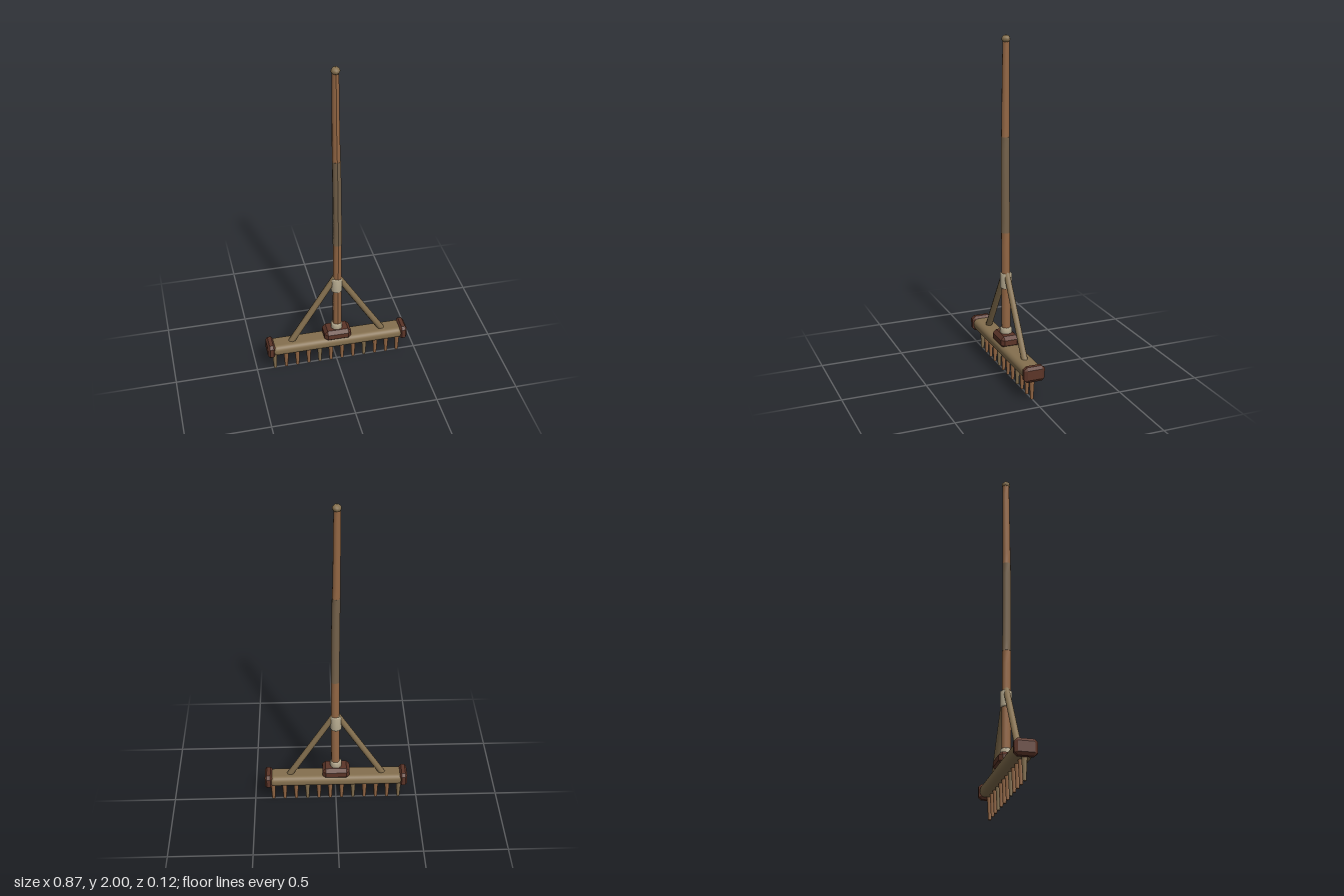
import * as THREE from 'three';
import { ConvexGeometry } from 'three/addons/geometries/ConvexGeometry.js';
import { RoundedBoxGeometry } from 'three/addons/geometries/RoundedBoxGeometry.js';

const material = (name, color) => {
  const m = new THREE.MeshStandardMaterial({ color });
  m.name = name;
  return m;
};

// Box with every edge and corner cut; c holds the cut along each axis
function chamferedBox(w, h, d, [cx, cy, cz]) {
  const points = [];
  for (const sx of [-1, 1]) for (const sy of [-1, 1]) for (const sz of [-1, 1]) {
    const x = w / 2, y = h / 2, z = d / 2;
    points.push(
      new THREE.Vector3(sx * x, sy * (y - cy), sz * (z - cz)),
      new THREE.Vector3(sx * (x - cx), sy * y, sz * (z - cz)),
      new THREE.Vector3(sx * (x - cx), sy * (y - cy), sz * z));
  }
  return new ConvexGeometry(points);
}

// Slightly bent centre line of the handle
const handleLine = new THREE.CatmullRomCurve3([
  [0.002, 0.18, 0], [0.004, 0.7, 0.003], [0.002, 1.2, 0.005],
  [-0.004, 1.6, 0.001], [-0.006, 1.98, -0.003],
].map(p => new THREE.Vector3(...p)));

// Stretch of the handle between two heights, following the centre line
function handleSection(y0, y1, r0, r1) {
  const g = new THREE.CylinderGeometry(r1, r0, y1 - y0, 10, 8);
  g.translate(0, (y0 + y1) / 2, 0);
  const pos = g.attributes.position;
  for (let i = 0; i < pos.count; i++) {
    const t = THREE.MathUtils.clamp((pos.getY(i) - 0.18) / 1.8, 0, 1);
    const c = handleLine.getPointAt(t);
    pos.setX(i, pos.getX(i) + c.x);
    pos.setZ(i, pos.getZ(i) + c.z);
  }
  g.computeVertexNormals();
  return g;
}

// Ring around the handle with softened rims
function collar(y0, y1, r) {
  const e = 0.006;
  const profile = [[0.02, y0], [r - e, y0], [r, y0 + e], [r, y1 - e], [r - e, y1], [0.02, y1]];
  return new THREE.LatheGeometry(profile.map(p => new THREE.Vector2(...p)), 12);
}

export function createModel() {
  const group = new THREE.Group();
  const wood = material('warm wood', 0x946744);
  const paleWood = material('weathered wood', 0x85704f);
  const gripWood = material('worn grip', 0x75624b);
  const darkWood = material('dark wood', 0x5c3528);
  const binding = material('pale binding', 0xb9ad92);

  const add = (name, geometry, mat, x = 0, y = 0, z = 0) => {
    const mesh = new THREE.Mesh(geometry, mat);
    mesh.name = name;
    mesh.position.set(x, y, z);
    group.add(mesh);
    return mesh;
  };

  // Handle
  add('lowerHandle', handleSection(0.2, 0.88, 0.027, 0.0255), wood);
  add('handleGrip', handleSection(0.875, 1.435, 0.0265, 0.025), gripWood);
  add('upperHandle', handleSection(1.43, 1.975, 0.024, 0.02), wood);
  const knob = new THREE.LatheGeometry([[0, 0], [0.02, 0], [0.026, 0.012],
    [0.024, 0.024], [0.013, 0.035], [0, 0.035]].map(p => new THREE.Vector2(...p)), 8);
  add('handleKnob', knob, paleWood, -0.005, 1.965, -0.002);

  // Bindings
  add('lowerCollar', collar(0.25, 0.292, 0.035), binding);
  add('upperCollar', collar(0.535, 0.63, 0.035), binding);

  // Head
  add('headBar', new RoundedBoxGeometry(0.82, 0.07, 0.118, 3, 0.03), paleWood, 0, 0.165, 0);
  add('socketBlock', chamferedBox(0.166, 0.072, 0.116, [0.02, 0.02, 0.02]), darkWood, 0, 0.22, 0);
  for (const side of [-1, 1]) {
    add('endCap', chamferedBox(0.046, 0.092, 0.125, [0.012, 0.017, 0.018]), darkWood, side * 0.413, 0.166, 0);

    // Diagonal brace from bar to upper collar
    const foot = new THREE.Vector3(side * 0.287, 0.185, 0);
    const top = new THREE.Vector3(side * 0.008, 0.635, 0);
    const along = top.clone().sub(foot);
    const brace = add('brace', new THREE.CylinderGeometry(0.019, 0.02, along.length(), 8), paleWood);
    brace.position.copy(foot).addScaledVector(along, 0.5);
    brace.quaternion.setFromUnitVectors(new THREE.Vector3(0, 1, 0), along.normalize());
  }

  // Teeth
  const tooth = new THREE.CylinderGeometry(0.0175, 0.0095, 0.145, 8);
  for (let i = 0; i < 12; i++) {
    add('tooth', tooth, i % 4 === 0 ? paleWood : wood, -0.388 + i * 0.0705, 0.0725, 0);
  }
  return group;
}
